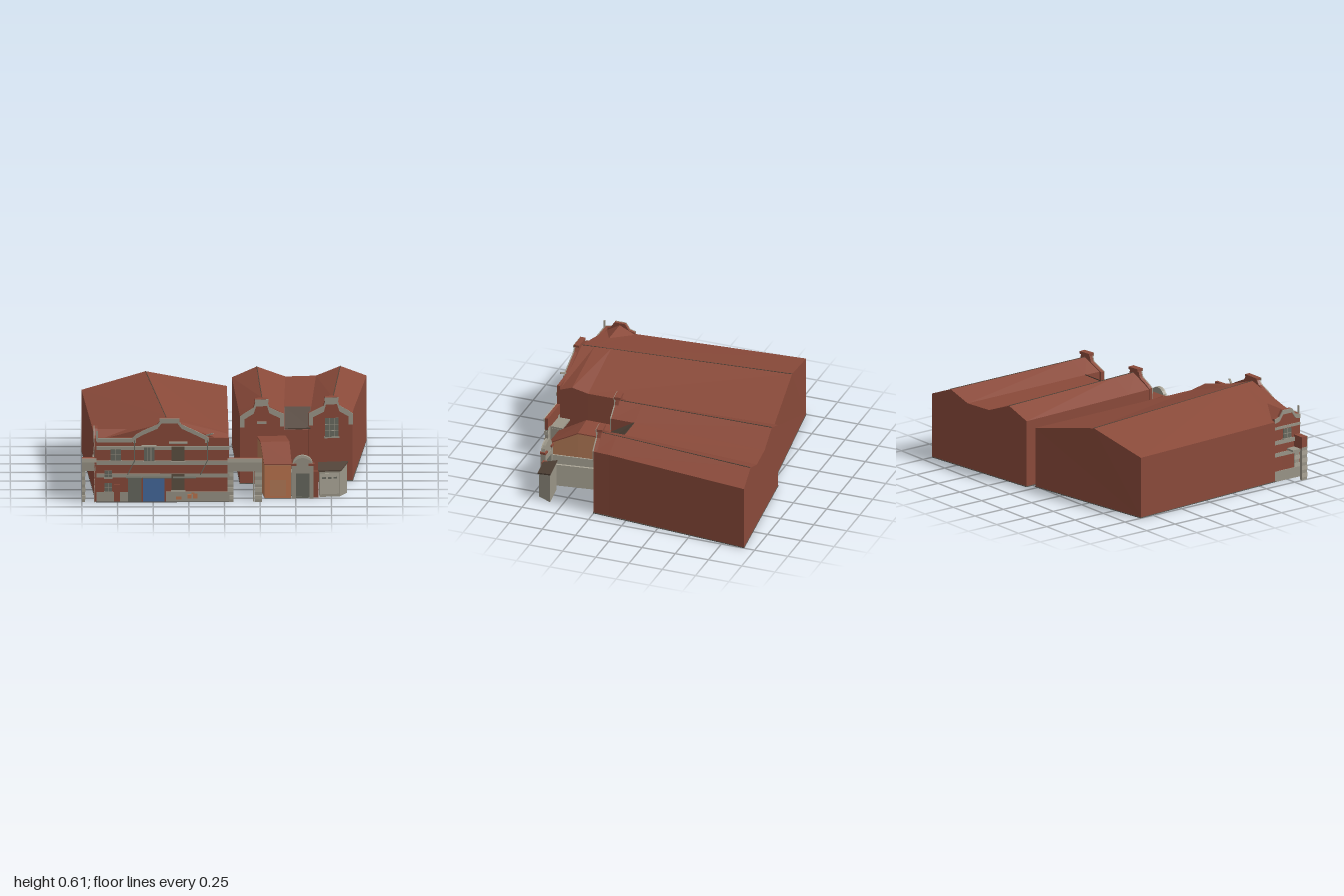
import * as THREE from 'three';

const M = {};
for (const [name, color] of Object.entries({
  brick: 0x8a4a3a, stone: 0x9a9587, paleStone: 0xaba697, tanPlaster: 0xb57b57, orangePaint: 0xbd754f,
  blueDoor: 0x466a9e, greyGreen: 0x68695f, timber: 0x524338, floorGrey: 0x5b5953, oldWindow: 0x5d5042,
})) {
  M[name] = new THREE.MeshStandardMaterial({ color, flatShading: true });
  M[name].name = name;
}

function add(parent, name, geo, mat) {
  const m = new THREE.Mesh(geo, mat);
  m.name = name;
  parent.add(m);
  return m;
}
function box(parent, name, mat, x0, x1, y0, y1, z0, z1) {
  const g = new THREE.BoxGeometry(x1 - x0, y1 - y0, z1 - z0);
  g.translate((x0 + x1) / 2, (y0 + y1) / 2, (z0 + z1) / 2);
  return add(parent, name, g, mat);
}
// Upright plate from an outline, back face at z
function plate(parent, name, mat, pts, z, depth) {
  const s = new THREE.Shape(pts.map(p => new THREE.Vector2(p[0], p[1])));
  const g = new THREE.ExtrudeGeometry(s, { depth, bevelEnabled: false });
  g.translate(0, 0, z);
  return add(parent, name, g, mat);
}
// Thin facing strip of constant height that follows a line of points
function coping(parent, name, pts, h, z, mat = M.stone) {
  const low = pts.map(p => [p[0], p[1] - h]);
  return plate(parent, name, mat, [...low, ...pts.slice().reverse()], z, 0.009);
}
// Solid through cross-sections, front to back, each counter-clockwise seen from the front
function loft(parent, name, mat, rings) {
  const v = [], n = rings[0].length;
  const tri = (a, b, c) => v.push(...a, ...b, ...c);
  for (let r = 0; r < rings.length - 1; r++) {
    for (let i = 0; i < n; i++) {
      const j = (i + 1) % n, A = rings[r], B = rings[r + 1];
      tri(A[i], B[i], B[j]);
      tri(A[i], B[j], A[j]);
    }
  }
  const cap = (R, flip) => {
    const flat = R.map(p => new THREE.Vector2(p[0], p[1]));
    for (const [a, b, c] of THREE.ShapeUtils.triangulateShape(flat, [])) {
      if (flip) tri(R[a], R[c], R[b]); else tri(R[a], R[b], R[c]);
    }
  };
  cap(rings[0], false);
  cap(rings[rings.length - 1], true);
  const g = new THREE.BufferGeometry();
  g.setAttribute('position', new THREE.Float32BufferAttribute(v, 3));
  g.computeVertexNormals();
  return add(parent, name, g, mat);
}
// Four-cornered section, its ends may differ in z
const ring = (xl, zl, xr, zr, y0, y1) => [[xl, y0, zl], [xr, y0, zr], [xr, y1, zr], [xl, y1, zl]];

// Straight bar between two points
function bar(parent, name, mat, a, b, w, h) {
  const A = new THREE.Vector3(...a), B = new THREE.Vector3(...b);
  const m = add(parent, name, new THREE.BoxGeometry(w, h, A.distanceTo(B)), mat);
  m.position.copy(A).add(B).multiplyScalar(0.5);
  m.lookAt(B);
  return m;
}
// Window on a wall at z, with thin mullions between the panes
function windowUnit(parent, name, x0, x1, y0, y1, z, glass = M.greyGreen, cols = 2, rows = 2) {
  const g = new THREE.Group();
  g.name = name;
  parent.add(g);
  box(g, 'pane', glass, x0, x1, y0, y1, z, z + 0.006);
  const t = 0.004;
  for (let i = 1; i < cols; i++) {
    const x = x0 + (x1 - x0) * i / cols;
    box(g, 'upright', M.stone, x - t / 2, x + t / 2, y0, y1, z, z + 0.008);
  }
  for (let i = 1; i < rows; i++) {
    const y = y0 + (y1 - y0) * i / rows;
    box(g, 'crossbar', M.stone, x0, x1, y - t / 2, y + t / 2, z, z + 0.008);
  }
  box(g, 'sill', M.stone, x0 - 0.006, x1 + 0.006, y0 - 0.008, y0, z, z + 0.014);
}
// Gateway: two banded stone piers and a brick lintel faced with stone
function gateway(parent, name, x0, x1, pierL, pierR, z0, z1) {
  const g = new THREE.Group();
  g.name = name;
  parent.add(g);
  for (const [a, b] of [[x0, x0 + pierL], [x1 - pierR, x1]]) {
    box(g, 'pier', M.stone, a, b, 0, 0.24, z0, z1);
    for (let i = 0; i < 4; i++) box(g, 'pierBlock', M.paleStone, a - 0.002, b + 0.002, 0.02 + i * 0.055, 0.05 + i * 0.055, z0, z1 + 0.005);
  }
  box(g, 'lintel', M.brick, x0, x1, 0.225, 0.316, z0, z1);
  box(g, 'lintelFace', M.stone, x0, x1, 0.225, 0.29, z1, z1 + 0.005);
  box(g, 'lintelCap', M.paleStone, x0 - 0.002, x1 + 0.002, 0.29, 0.315, z1, z1 + 0.009);
}

function leftHall(root) {
  const g = new THREE.Group();
  g.name = 'leftHall';
  root.add(g);
  // Body, floor and ridge
  const hallSection = (xl, xr, zl, zr, eaveL, eaveR, ridge) => [
    [xl, 0.006, zl], [xr, 0.006, zr], [xr, eaveR, zr], ridge, [xl, eaveL, zl]];
  loft(g, 'hallBody', M.brick, [
    hallSection(-0.9, 0.03, 0.845, 0.845, 0.44, 0.43, [-0.395, 0.575, 0.845]),
    hallSection(-0.907, 0.03, 0.75, 0.75, 0.44, 0.465, [-0.405, 0.575, 0.75]),
    hallSection(-0.915, 0.03, 0.63, 0.63, 0.44, 0.44, [-0.417, 0.575, 0.63]),
    hallSection(-1, 0.02, -0.61, -0.76, 0.445, 0.435, [-0.55, 0.562, -0.68]),
  ]);
  loft(g, 'hallFloor', M.floorGrey, [ring(-0.902, 0.866, 0.032, 0.866, 0, 0.006), ring(-1, -0.612, 0.022, -0.762, 0, 0.006)]);
  bar(g, 'ridgeCap', M.timber, [-0.395, 0.575, 0.845], [-0.55, 0.562, -0.68], 0.006, 0.004);
  // Small cross gable with a shaped side parapet
  loft(g, 'crossGable', M.brick, [
    [[-0.9, 0.4, 0.85], [-0.5, 0.4, 0.85], [-0.6, 0.44, 0.85], [-0.9, 0.44, 0.85]],
    [[-0.9, 0.4, 0.75], [-0.55, 0.4, 0.75], [-0.64, 0.5, 0.75], [-0.9, 0.5, 0.75]],
    [[-0.9, 0.4, 0.64], [-0.55, 0.4, 0.64], [-0.67, 0.45, 0.64], [-0.9, 0.45, 0.64]],
  ]);
  const side = new THREE.Group();
  side.name = 'sideFacade';
  side.rotation.y = -Math.PI / 2;
  side.position.set(-0.89, 0, 0.64);
  g.add(side);
  const sideTop = [[0, 0.46], [0.04, 0.47], [0.07, 0.515], [0.15, 0.515], [0.18, 0.47], [0.225, 0.46]];
  plate(side, 'sideWall', M.brick, [[0, 0.006], [0.225, 0.006], ...sideTop.slice().reverse()], 0, 0.02);
  coping(side, 'sideCoping', sideTop, 0.03, 0.02);
  for (const [a, b] of [[0, 0.075], [0.18, 0.21], [0.27, 0.3], [0.38, 0.4]]) box(side, 'sideBand', M.stone, 0, 0.225, a, b, 0.02, 0.026);
  windowUnit(side, 'sideWindow', 0.075, 0.145, 0.305, 0.375, 0.02);

  // Street facade
  const top = [[-0.895, 0.462], [-0.65, 0.462], [-0.62, 0.49], [-0.57, 0.518], [-0.47, 0.562], [-0.44, 0.602],
    [-0.33, 0.602], [-0.3, 0.562], [-0.2, 0.515], [-0.14, 0.485], [-0.11, 0.466], [0.032, 0.462]];
  plate(g, 'facadeWall', M.brick, [[-0.895, 0.006], [0.032, 0.006], ...top.slice().reverse()], 0.84, 0.022);
  const F = 0.862;
  coping(g, 'facadeCoping', top.slice(0, 11), 0.03, F);
  box(g, 'cornerPost', M.stone, -0.9, -0.885, 0.44, 0.515, F, F + 0.009);
  box(g, 'gableCap', M.brick, -0.45, -0.32, 0.59, 0.606, 0.834, 0.872);
  box(g, 'gableCapFace', M.stone, -0.455, -0.315, 0.586, 0.605, 0.871, 0.876);
  for (const x of [-0.64, -0.135]) box(g, 'copingFoot', M.stone, x, x + 0.02, 0.43, 0.47, F, F + 0.01);
  for (const [a, b] of [[0.18, 0.207], [0.27, 0.3], [0.38, 0.405]]) box(g, 'facadeBand', M.stone, -0.897, 0.034, a, b, F, F + 0.008);
  for (const [a, b] of [[-0.897, -0.675], [-0.41, 0.034]]) box(g, 'plinth', M.stone, a, b, 0.006, 0.075, F, F + 0.009);
  // Windows
  windowUnit(g, 'upperWindow', -0.8, -0.725, 0.305, 0.385, F + 0.006);
  box(g, 'bayBox', M.greyGreen, -0.56, -0.495, 0.31, 0.39, F, 0.888);
  windowUnit(g, 'bayWindow', -0.565, -0.49, 0.3, 0.405, 0.888, M.greyGreen, 3, 1);
  windowUnit(g, 'upperWindow', -0.37, -0.28, 0.3, 0.405, F + 0.008, M.oldWindow, 1, 1);
  windowUnit(g, 'smallWindow', -0.84, -0.79, 0.18, 0.23, F + 0.008);
  windowUnit(g, 'smallWindow', -0.84, -0.79, 0.08, 0.14, F);
  windowUnit(g, 'lowerWindow', -0.37, -0.28, 0.09, 0.205, F + 0.008, M.oldWindow, 1, 1);
  box(g, 'bayCanopy', M.stone, -0.58, -0.475, 0.405, 0.413, F, 0.9);
  box(g, 'windowCanopy', M.stone, -0.39, -0.26, 0.427, 0.437, F, 0.89);
  // Doors and awnings
  box(g, 'smallDoor', M.brick, -0.775, -0.733, 0.006, 0.13, F, 0.874);
  box(g, 'greyDoor', M.greyGreen, -0.675, -0.58, 0.006, 0.18, F, F + 0.009);
  box(g, 'blueDoor', M.blueDoor, -0.57, -0.42, 0.006, 0.18, F, F + 0.009);
  for (const [a, b] of [[-0.69, -0.58], [-0.575, -0.37], [-0.36, -0.2]]) box(g, 'awning', M.greyGreen, a, b, 0.181, 0.187, F, 0.908);
  for (const [x, y, w, h] of [[-0.34, 0.022, 0.04, 0.02], [-0.26, 0.03, 0.03, 0.03], [-0.22, 0.03, 0.03, 0.035], [-0.23, 0.06, 0.02, 0.012]])
    box(g, 'paintPatch', M.orangePaint, x, x + w, y, y + h, F, F + 0.013);
  // Drainpipes
  for (const x of [-0.63, -0.12]) {
    bar(g, 'drainpipe', M.greyGreen, [x, 0.45, 0.874], [x, 0.3, 0.874], 0.006, 0.006);
    bar(g, 'drainpipe', M.greyGreen, [x, 0.3, 0.874], [x - 0.05, 0.2, 0.874], 0.006, 0.006);
  }
  bar(g, 'bracketLamp', M.stone, [-0.13, 0.48, 0.86], [-0.08, 0.5, 0.88], 0.012, 0.01);
}

function rightHall(root) {
  const g = new THREE.Group();
  g.name = 'rightHall';
  root.add(g);
  // Twin-ridged body with a notch at the front of the valley
  const zf = x => 0.335 - (x - 0.11) * 0.114, zb = x => -0.81 - (x - 0.055) * 0.1164;
  const section = (xs, ys, z) => xs.map((x, i) => [x, ys[i], z(x)]);
  loft(g, 'twinRoofBody', M.brick, [
    section([0.11, 0.9, 0.9, 0.755, 0.607, 0.605, 0.42, 0.418, 0.27, 0.11], [0.006, 0.006, 0.49, 0.575, 0.5, 0.38, 0.38, 0.5, 0.575, 0.485], zf),
    section([0.1, 0.907, 0.907, 0.762, 0.609, 0.605, 0.42, 0.418, 0.264, 0.1], [0.006, 0.006, 0.49, 0.572, 0.5, 0.5, 0.5, 0.5, 0.572, 0.485], () => 0.13),
    section([0.055, 1, 1, 0.815, 0.645, 0.643, 0.432, 0.43, 0.23, 0.055], [0.006, 0.006, 0.47, 0.545, 0.48, 0.48, 0.48, 0.48, 0.558, 0.485], zb),
  ]);
  loft(g, 'hallFloor', M.floorGrey, [ring(0.108, 0.345, 0.902, 0.255, 0, 0.006), ring(0.053, -0.812, 1, -0.922, 0, 0.006)]);
  loft(g, 'timberRoof', M.timber, [ring(0.421, 0.31, 0.604, 0.29, 0.385, 0.395), ring(0.421, 0.13, 0.604, 0.13, 0.497, 0.507)]);
  bar(g, 'ridgeCap', M.timber, [0.27, 0.574, 0.31], [0.23, 0.558, -0.83], 0.006, 0.004);
  bar(g, 'ridgeCap', M.timber, [0.755, 0.574, 0.25], [0.815, 0.545, -0.895], 0.006, 0.004);
  // Slanted front with two shaped gables
  const f = new THREE.Group();
  f.name = 'gabledFront';
  f.rotation.y = 0.113;
  f.position.set(0.11, 0, 0.335);
  g.add(f);
  const gable = [[0, 0.49], [0.025, 0.508], [0.095, 0.55], [0.112, 0.602], [0.19, 0.602], [0.205, 0.55], [0.275, 0.515], [0.31, 0.5]];
  for (const mirror of [false, true]) {
    const top = mirror ? gable.map(p => [0.795 - p[0], p[1]]).reverse() : gable;
    const x0 = top[0][0], x1 = top[top.length - 1][0], c = mirror ? 0.644 : 0.151;
    plate(f, 'gableWall', M.brick, [[x0, 0.006], [x1, 0.006], ...top.slice().reverse()], -0.02, 0.025);
    coping(f, 'gableCoping', top, 0.042, 0.005);
    box(f, 'gableCap', M.brick, c - 0.046, c + 0.046, 0.592, 0.611, -0.032, 0.014);
    box(f, 'gableCapFace', M.stone, c - 0.048, c + 0.048, 0.588, 0.61, 0.013, 0.018);
    for (const x of [x0, x1 - 0.03]) box(f, 'gableShoulder', M.stone, x, x + 0.03, 0.41, 0.48, 0.005, 0.013);
  }
  box(f, 'gableLedge', M.stone, 0.118, 0.185, 0.432, 0.447, 0.005, 0.016);
  windowUnit(f, 'gableWindow', 0.6, 0.695, 0.325, 0.46, 0.005, M.greyGreen, 3, 3);
}

function yard(root) {
  const g = new THREE.Group();
  g.name = 'yardBuildings';
  root.add(g);
  // Plastered cottage under a broken roof
  const spans = [[0.282, 0.755, 0.468, 0.755, 0.24], [0.258, 0.555, 0.452, 0.54, 0.35], [0.234, 0.33, 0.425, 0.31, 0.335]];
  const rings = (lo, hi, grow) => spans.map(([a, b, c, d, h]) => ring(a - grow, b, c + grow, d, lo === null ? h : lo, h + hi));
  loft(g, 'cottageWalls', M.tanPlaster, rings(0.004, 0, 0));
  loft(g, 'cottageRoof', M.brick, rings(null, 0.008, 0.004));
  loft(g, 'cottageFloor', M.floorGrey, spans.map(([a, b, c, d]) => ring(a, b, c, d, 0, 0.004)));
  box(g, 'cottageFront', M.orangePaint, 0.282, 0.468, 0.004, 0.235, 0.755, 0.759);
  box(g, 'cottageShutter', M.tanPlaster, 0.32, 0.43, 0.02, 0.135, 0.759, 0.764);
  // Walled passage
  loft(g, 'passageFloor', M.greyGreen, [ring(0.475, 0.745, 0.625, 0.735, 0, 0.008), ring(0.43, 0.31, 0.56, 0.29, 0, 0.008)]);
  bar(g, 'passageWall', M.paleStone, [0.618, 0.083, 0.73], [0.556, 0.083, 0.295], 0.016, 0.165);
  bar(g, 'passageWall', M.paleStone, [0.482, 0.083, 0.74], [0.436, 0.083, 0.31], 0.01, 0.165);
  // Arched passage gate
  const gate = new THREE.Group();
  gate.name = 'passageGate';
  g.add(gate);
  for (const x of [0.472, 0.595]) {
    box(gate, 'gatePier', M.stone, x, x + 0.03, 0, 0.235, 0.72, 0.755);
    box(gate, 'pierCap', M.brick, x - 0.005, x + 0.035, 0.235, 0.25, 0.715, 0.76);
  }
  box(gate, 'brickPier', M.brick, 0.625, 0.658, 0, 0.19, 0.705, 0.735);
  box(gate, 'gateLeaf', M.greyGreen, 0.502, 0.595, 0.008, 0.18, 0.728, 0.736);
  box(gate, 'gateBeam', M.stone, 0.472, 0.625, 0.18, 0.215, 0.722, 0.752);
  const arch = Array.from({ length: 9 }, (_, i) => {
    const a = Math.PI * i / 8;
    return [0.5485 + 0.07 * Math.cos(a), 0.25 + 0.06 * Math.sin(a)];
  });
  plate(gate, 'gatePediment', M.stone, [[0.4785, 0.215], [0.6185, 0.215], ...arch], 0.727, 0.02);
  coping(gate, 'pedimentRim', arch.slice().reverse(), 0.018, 0.747, M.paleStone);
  // Booth with a sloping timber roof
  loft(g, 'boothWalls', M.stone, [ring(0.665, 0.715, 0.81, 0.695, 0, 0.185), ring(0.665, 0.62, 0.86, 0.592, 0, 0.22)]);
  loft(g, 'boothRoof', M.timber, [ring(0.655, 0.725, 0.818, 0.703, 0.183, 0.193), ring(0.655, 0.618, 0.868, 0.588, 0.218, 0.228)]);
  const front = new THREE.Group();
  front.name = 'boothFront';
  front.position.set(0.665, 0, 0.715);
  front.rotation.y = 0.137;
  g.add(front);
  box(front, 'boothPanel', M.paleStone, 0.005, 0.14, 0.02, 0.17, 0, 0.004);
  for (let i = 0; i < 3; i++) box(front, 'boothVent', M.greyGreen, 0.02 + i * 0.04, 0.045 + i * 0.04, 0.13, 0.143, 0.004, 0.007);
}

export function createModel() {
  const root = new THREE.Group();
  root.name = 'brickHalls';
  leftHall(root);
  rightHall(root);
  yard(root);
  // Gateways at both ends of the street facade
  gateway(root, 'rightGateway', 0.022, 0.262, 0.04, 0.05, 0.842, 0.864);
  box(root, 'gatePassageRoof', M.stone, 0.06, 0.205, 0.215, 0.228, 0.755, 0.845);
  box(root, 'gateLeaf', M.stone, 0.2, 0.208, 0, 0.215, 0.765, 0.845);
  gateway(root, 'leftGateway', -0.998, -0.9, 0.02, 0.012, 0.815, 0.86);
  box(root, 'gatePassageRoof', M.stone, -0.98, -0.91, 0.215, 0.228, 0.75, 0.82);
  return root;
}
